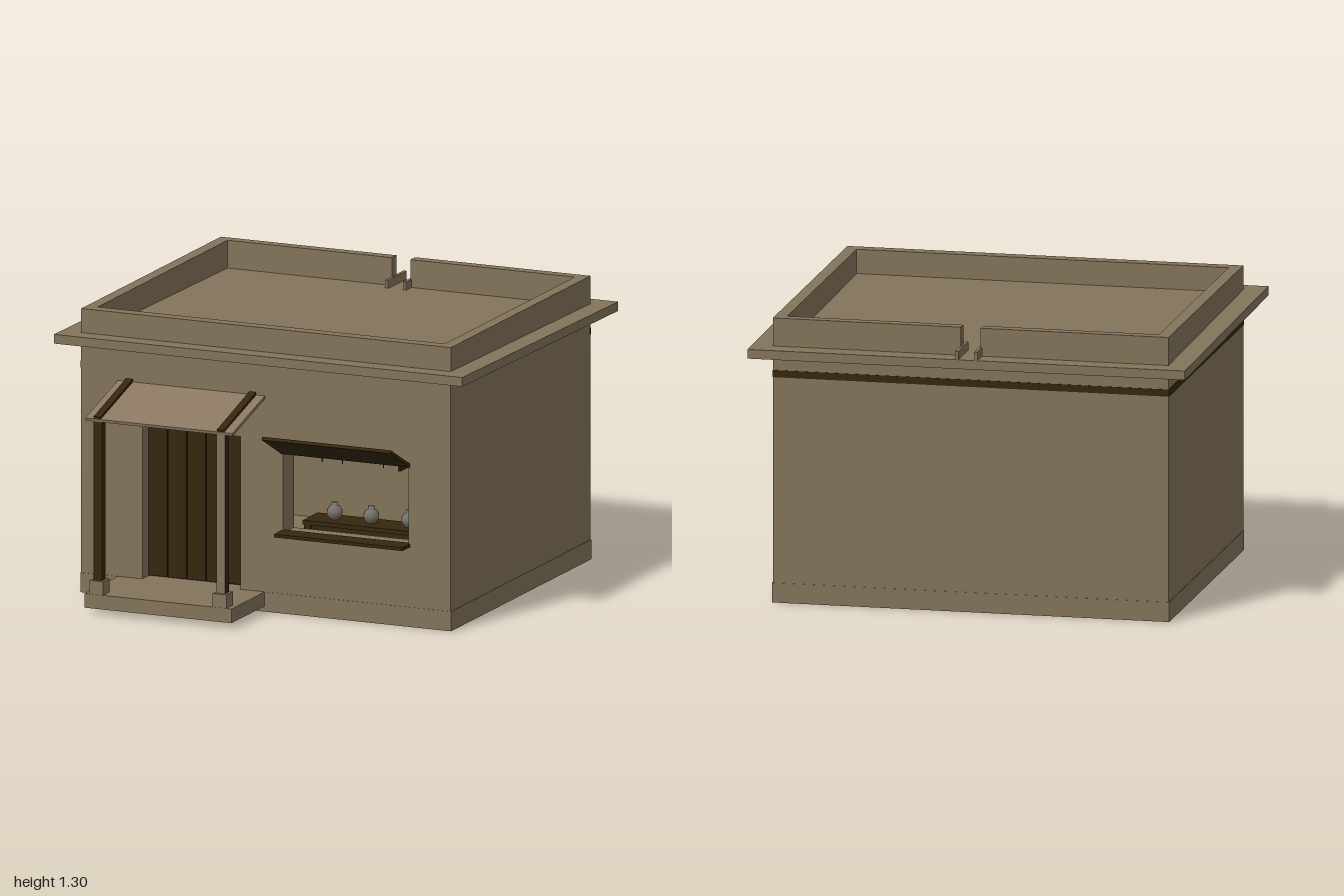
import * as THREE from 'three';

const mat = (name, color, extra = {}) => {
  const m = new THREE.MeshStandardMaterial({ color, ...extra });
  m.name = name;
  return m;
};

export function createModel() {
  const clay = mat('clay', 0x83745b);
  const wood = mat('dark wood', 0x35270f);
  const cloth = mat('canopy boards', 0x8a7862);
  const ceramic = mat('ceramic', 0x77736a, { side: THREE.DoubleSide });
  const root = new THREE.Group();

  const add = (name, geo, material, parent = root) => {
    const m = new THREE.Mesh(geo, material);
    m.name = name;
    parent.add(m);
    return m;
  };
  // Box given by its limits on each axis
  const box = (name, material, x0, x1, y0, y1, z0, z1) => {
    const m = add(name, new THREE.BoxGeometry(x1 - x0, y1 - y0, z1 - z0), material);
    m.position.set((x0 + x1) / 2, (y0 + y1) / 2, (z0 + z1) / 2);
    return m;
  };
  // Board sloping between two (z, y) points
  const slope = (name, material, x0, x1, z0, y0, z1, y1, t) => {
    const m = add(name, new THREE.BoxGeometry(x1 - x0, t, Math.hypot(z1 - z0, y1 - y0)), material);
    m.position.set((x0 + x1) / 2, (y0 + y1) / 2, (z0 + z1) / 2);
    m.rotation.x = -Math.atan2(y1 - y0, z1 - z0);
    return m;
  };

  // Floor plinth and walls
  box('plinth', clay, -0.908, 0.908, 0, 0.09, -0.892, 0.622);
  const front = new THREE.Shape();
  [[-0.905, 0.09], [-0.605, 0.09], [-0.605, 0.79], [-0.125, 0.79], [-0.125, 0.09],
    [0.905, 0.09], [0.905, 1.16], [-0.905, 1.16]]
    .forEach(([x, y], i) => (i ? front.lineTo(x, y) : front.moveTo(x, y)));
  const hole = new THREE.Path();
  hole.moveTo(0.085, 0.37).lineTo(0.085, 0.74).lineTo(0.7, 0.74).lineTo(0.7, 0.37).closePath();
  front.holes.push(hole);
  add('frontWall', new THREE.ExtrudeGeometry(front, { depth: 0.115, bevelEnabled: false }), clay)
    .position.z = 0.505;
  box('backWall', clay, -0.905, 0.905, 0.09, 1.14, -0.89, -0.775);
  for (const s of [-1, 1]) {
    const x = s * 0.8475;
    box(s > 0 ? 'leftWall' : 'rightWall', clay, x - 0.0575, x + 0.0575, 0.09, 1.15, -0.775, 0.505);
  }

  // Dark tie beams showing under the eaves
  box('backBeam', wood, -0.907, 0.905, 1.03, 1.062, -0.893, -0.88);
  box('rightBeam', wood, -0.908, -0.895, 1.03, 1.062, -0.893, 0.618);

  // Slightly pitched roof slab, parapet and drain
  slope('roofSlab', clay, -1, 1, -0.98, 1.15, 0.705, 1.17, 0.042);
  box('frontParapet', clay, -0.905, 0.905, 1.16, 1.3, 0.56, 0.618);
  box('leftParapet', clay, 0.85, 0.905, 1.15, 1.3, -0.89, 0.56);
  box('rightParapet', clay, -0.905, -0.85, 1.15, 1.3, -0.89, 0.56);
  box('backParapet', clay, -0.85, -0.045, 1.15, 1.3, -0.89, -0.84);
  box('backParapet', clay, 0.045, 0.85, 1.15, 1.3, -0.89, -0.84);
  for (const x of [-0.044, 0.044]) {
    box('drainSide', clay, x - 0.008, x + 0.008, 1.135, 1.21, -0.98, -0.78);
  }

  // Plank door, set back in its opening
  box('doorBacking', wood, -0.605, -0.125, 0.09, 0.79, 0.52, 0.545);
  for (let i = 0; i < 5; i++) {
    const x = -0.602 + i * 0.095;
    box('doorPlank', wood, x, x + 0.09, 0.095, 0.785, 0.54, 0.56);
  }

  // Porch: step, posts, sloping canopy with rafters
  box('porchStep', clay, -0.725, -0.005, 0.025, 0.09, 0.61, 0.98);
  for (const x of [-0.668, -0.064]) {
    box('postBase', clay, x - 0.034, x + 0.034, 0.09, 0.152, 0.91, 0.978);
    // The post beside the window has a clay-coloured front face
    const faces = x > -0.1 ? [wood, wood, wood, wood, clay, wood] : wood;
    box('porchPost', faces, x - 0.021, x + 0.021, 0.152, 0.885, 0.922, 0.964);
    slope('rafter', wood, x - 0.017, x + 0.017, 0.615, 0.99, 0.965, 0.891, 0.026);
  }
  slope('porchCanopy', cloth, -0.725, -0.005, 0.615, 0.983, 0.968, 0.886, 0.014);

  // Window shutter propped outward, and its sill
  slope('windowShutter', wood, 0.076, 0.706, 0.615, 0.737, 0.83, 0.848, 0.015);
  box('windowSill', wood, 0.076, 0.706, 0.365, 0.38, 0.6, 0.7);
  for (const x of [0.25, 0.35, 0.55]) {
    box('cord', wood, x - 0.002, x + 0.002, 0.7, 0.74, 0.56, 0.564);
  }

  // Display table inside the window
  box('tableTop', wood, 0.09, 0.66, 0.365, 0.385, 0.26, 0.42);
  box('tableApron', wood, 0.11, 0.64, 0.325, 0.365, 0.39, 0.405);
  for (const x of [0.11, 0.64]) {
    for (const z of [0.28, 0.4]) {
      box('tableLeg', wood, x - 0.015, x + 0.015, 0.09, 0.365, z - 0.015, z + 0.015);
    }
  }

  // Wall shelf at the back of the room
  box('shelfBack', wood, 0.09, 0.66, 0.38, 0.69, -0.78, -0.765);
  box('shelfBoard', wood, 0.085, 0.665, 0.492, 0.508, -0.77, -0.62);
  box('shelfTop', wood, 0.085, 0.67, 0.685, 0.695, -0.77, -0.62);
  for (const x of [0.085, 0.66]) {
    box('shelfSide', wood, x, x + 0.01, 0.38, 0.69, -0.77, -0.62);
  }

  // Round pots on the table and the shelf
  const profile = [[0, 0], [0.02, 0], [0.034, 0.02], [0.036, 0.038], [0.026, 0.058], [0.013, 0.064],
    [0.016, 0.076], [0, 0.076]].map(([r, y]) => new THREE.Vector2(r, y));
  const potGeo = new THREE.LatheGeometry(profile, 14);
  [[0.21, 0.385, 0.34], [0.39, 0.385, 0.34], [0.575, 0.385, 0.34],
    [0.24, 0.508, -0.69], [0.48, 0.508, -0.69]]
    .forEach((p) => add('pot', potGeo, ceramic).position.set(...p));

  return root;
}
